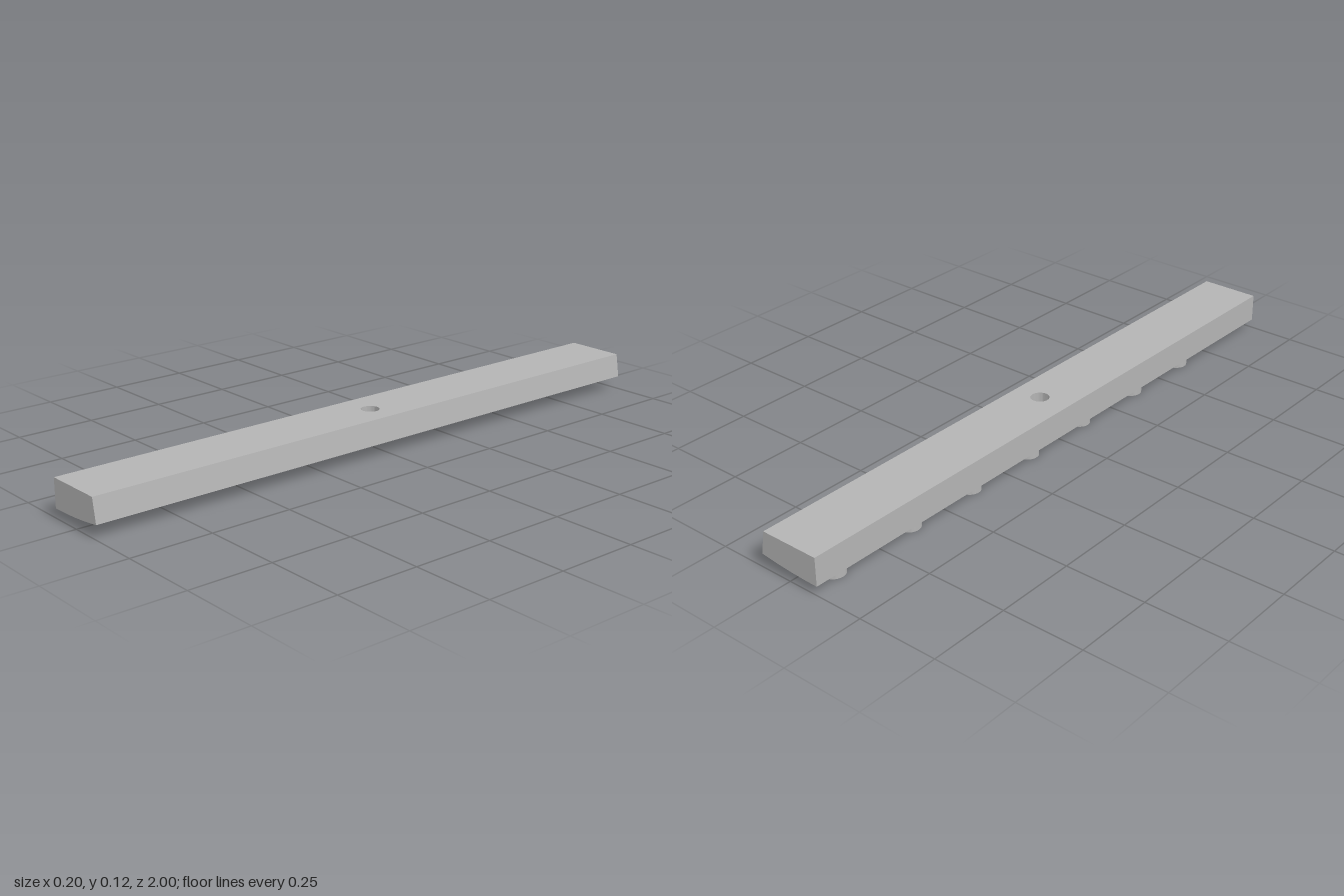
import * as THREE from 'three';
import { mergeGeometries, toCreasedNormals } from 'three/addons/utils/BufferGeometryUtils.js';

const HALF = 0.1, TOP = 0.115, TOP_RIGHT = 0.088, CUT = 0.04, HOLE = 0.028;
const underside = x => 0.028 + 0.014 * ((x + HALF) / (2 * HALF)) ** 2;
const stations = Array.from({ length: 13 }, (_, i) => -HALF + (2 * HALF * i) / 12);

// Solid end length of the bar, swept along z
function endBlock(z) {
  const pts = stations.map(x => new THREE.Vector2(x, underside(x)));
  pts.push(new THREE.Vector2(TOP_RIGHT, TOP), new THREE.Vector2(-HALF, TOP));
  return new THREE.ExtrudeGeometry(new THREE.Shape(pts), { depth: 1 - CUT, bevelEnabled: false }).translate(0, 0, z);
}

// Short middle length with the vertical hole, bent to the same section
function middleBlock() {
  const pts = stations.map(x => new THREE.Vector2(x, -CUT));
  pts.push(...stations.slice().reverse().map(x => new THREE.Vector2(x, CUT)));
  const plan = new THREE.Shape(pts);
  plan.holes.push(new THREE.Path().absarc(0, 0, HOLE, 0, Math.PI * 2, true));
  const g = new THREE.ExtrudeGeometry(plan, { depth: 1, bevelEnabled: false, curveSegments: 20 }).rotateX(-Math.PI / 2);
  const p = g.attributes.position;
  for (let i = 0; i < p.count; i++) {
    const x = p.getX(i), isTop = p.getY(i) > 0.5;
    p.setY(i, isTop ? TOP : underside(x));
    if (isTop && x > HALF - 0.001) p.setX(i, TOP_RIGHT);
  }
  return g;
}

// Join the lengths and drop the hidden faces between them
function barGeometry() {
  const p = mergeGeometries([endBlock(CUT), middleBlock(), endBlock(-1)]).attributes.position;
  const kept = [];
  for (let i = 0; i < p.count; i += 3) {
    const ids = [i, i + 1, i + 2];
    const hidden = [-CUT, CUT].some(c => ids.every(k => Math.abs(p.getZ(k) - c) < 1e-5));
    if (!hidden) ids.forEach(k => kept.push(p.getX(k), p.getY(k), p.getZ(k)));
  }
  const g = new THREE.BufferGeometry();
  g.setAttribute('position', new THREE.Float32BufferAttribute(kept, 3));
  return toCreasedNormals(g, 0.5);
}

// Raised ring, or half ring bulging toward -x
function ringGeometry(r, half) {
  const inner = r - 0.011;
  const s = new THREE.Shape();
  if (half) {
    s.absarc(0, 0, r, Math.PI / 2, Math.PI * 1.5, false);
    s.absarc(0, 0, inner, Math.PI * 1.5, Math.PI / 2, true);
  } else {
    s.absarc(0, 0, r, 0, Math.PI * 2, false);
    s.holes.push(new THREE.Path().absarc(0, 0, inner, 0, Math.PI * 2, true));
  }
  const g = new THREE.ExtrudeGeometry(s, { depth: 0.03, bevelEnabled: false, curveSegments: 16 });
  return toCreasedNormals(g.rotateX(-Math.PI / 2), 0.5);
}

export function createModel() {
  const model = new THREE.Group();
  model.name = 'barWithRaisedFeet';
  const grey = new THREE.MeshStandardMaterial({ color: 0xb4b4b4 });
  grey.name = 'grey';
  const add = (name, geometry, x, y, z) => {
    const m = new THREE.Mesh(geometry, grey);
    m.name = name;
    m.position.set(x, y, z);
    model.add(m);
  };

  add('bar', barGeometry(), 0, 0, 0);

  // Underside bosses: ring z, radius, half ring?, rib z, rib length
  const bosses = [
    [0.62, 0.035, false, 0, 0],
    [0.375, 0.035, true, 0.368, 0.145],
    [0.12, 0.032, false, 0.103, 0.115],
    [-0.125, 0.035, false, 0, 0],
    [-0.375, 0.033, true, -0.375, 0.07],
    [-0.62, 0.034, true, -0.612, 0.105],
    [-0.9, 0.034, true, -0.895, 0.12],
  ];
  for (const [z, r, half, ribZ, ribLength] of bosses) {
    add('ringBoss', ringGeometry(r, half), -0.055, 0, z);
    if (ribLength) add('ribBoss', new THREE.BoxGeometry(0.011, 0.029, ribLength), -0.004, 0.0185, ribZ);
  }

  // Pair of small pegs near the front end
  for (const z of [0.89, 0.855]) add('peg', new THREE.BoxGeometry(0.025, 0.03, 0.009), -0.05, 0.015, z);

  return model;
}
